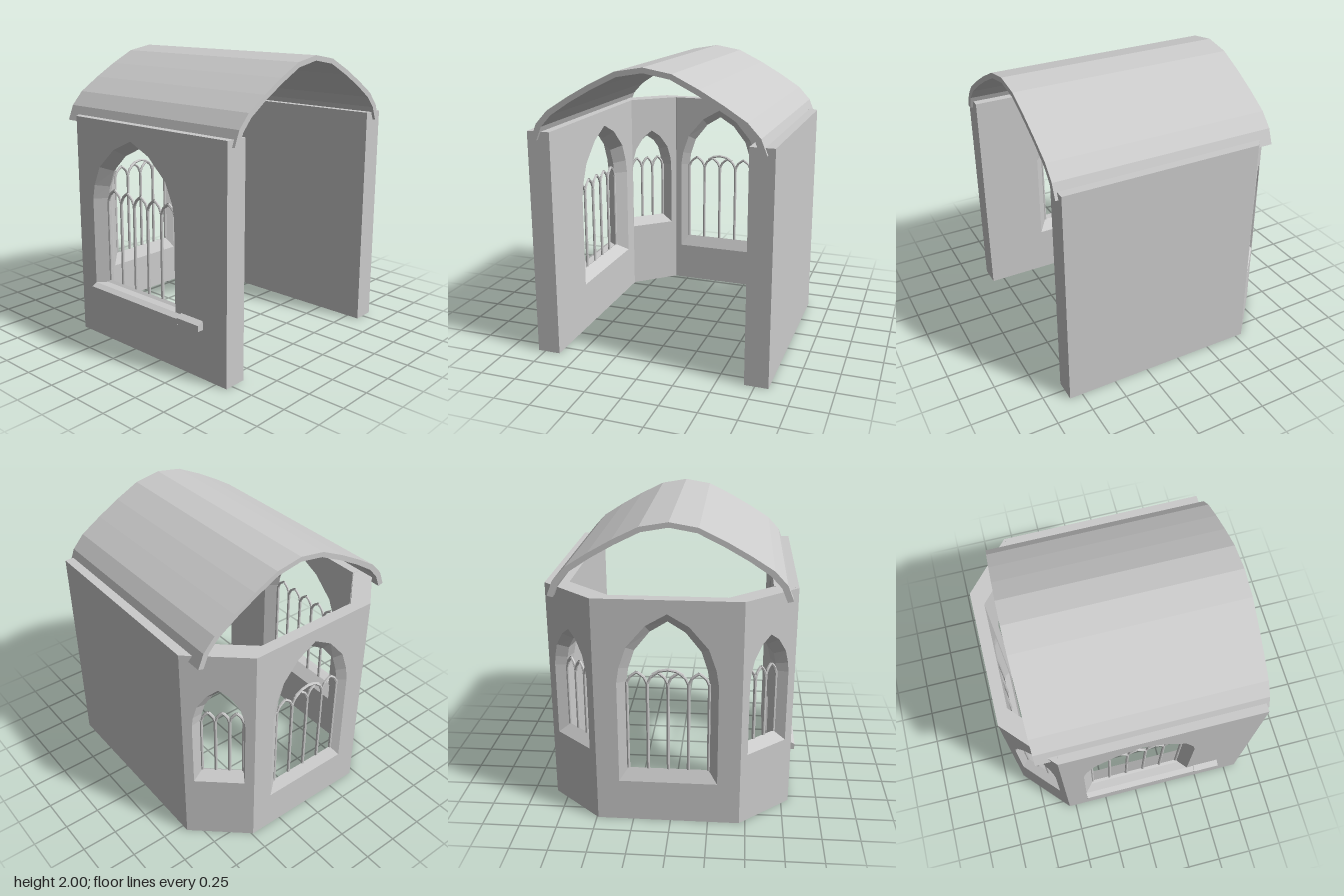
import * as THREE from 'three';
import { mergeGeometries } from 'three/addons/utils/BufferGeometryUtils.js';

const stone = new THREE.MeshStandardMaterial({ color: 0xcccccc, flatShading: true, side: THREE.DoubleSide });
const V2 = (x, y) => new THREE.Vector2(x, y);
const HEIGHT = 1.56;

// Plan corners, running from the left front round the apse to the right front
const OUTER = [[0.84, 0.84], [0.84, -0.55], [0.49, -0.86], [-0.46, -0.86], [-0.8, -0.55], [-0.8, 0.84]];
const INNER = [[0.68, 0.84], [0.68, -0.52], [0.39, -0.78], [-0.35, -0.78], [-0.64, -0.52], [-0.64, 0.84]];

function mesh(name, geometry) {
  const m = new THREE.Mesh(geometry, stone);
  m.name = name;
  return m;
}

// Pointed window outline, counter-clockwise
function archLoop(c, half, sill, spring, top) {
  const side = [[1, 0], [0.95, 0.22], [0.8, 0.52], [0.42, 0.83]];
  const at = ([u, v], s) => V2(c + s * u * half, spring + v * (top - spring));
  return [
    V2(c - half, sill), V2(c + half, sill),
    ...side.map(p => at(p, 1)), V2(c, top),
    ...side.map(p => at(p, -1)).reverse(),
  ];
}

const rect = (a, b) => [V2(a, 0), V2(b, 0), V2(b, HEIGHT), V2(a, HEIGHT)];

function soup() {
  const data = [];
  const put = (p, z) => data.push(p.x, p.y, z);
  return {
    // Flat face with an optional hole
    face(outline, hole, z, flip) {
      const holes = hole ? [[...hole].reverse()] : [];
      const all = [...outline, ...holes.flat()];
      for (const t of THREE.ShapeUtils.triangulateShape(outline, holes)) {
        for (const i of flip ? [t[0], t[2], t[1]] : t) put(all[i], z);
      }
    },
    // Band between two matching loops
    strip(a, za, b, zb) {
      a.forEach((p, i) => {
        const j = (i + 1) % a.length;
        put(p, za); put(b[i], zb); put(b[j], zb);
        put(p, za); put(b[j], zb); put(a[j], za);
      });
    },
    build() {
      const g = new THREE.BufferGeometry();
      g.setAttribute('position', new THREE.Float32BufferAttribute(data, 3));
      g.computeVertexNormals();
      return g;
    },
  };
}

// Row of mullions carrying small pointed arches
function tracery(c, z, half, sill, count, linkArch) {
  const parts = [];
  const w = (2 * half) / count;
  const bar = pts => parts.push(new THREE.TubeGeometry(
    new THREE.CatmullRomCurve3(pts.map(p => new THREE.Vector3(p[0], p[1], z))), 4, 0.01, 6));
  for (let i = 0; i <= count; i++) {
    const u = c - half + i * w;
    const h = 1.0 - sill;
    parts.push(new THREE.CylinderGeometry(0.011, 0.011, h, 8).translate(u, sill + h / 2, z));
    if (i === count) continue;
    for (const s of [-1, 1]) {
      const m = u + w / 2;
      bar([[m + s * w / 2, 0.98], [m + s * w * 0.34, 1.03], [m, 1.065]]);
    }
  }
  if (linkArch) bar([[c - 0.1, 1.05], [c - 0.05, 1.077], [c, 1.085], [c + 0.05, 1.077], [c + 0.1, 1.05]]);
  return mergeGeometries(parts);
}

// One wall between plan corners i and i + 1; local z points outwards
function wall(name, i, thick, win) {
  const [a, b] = [OUTER[i], OUTER[i + 1]];
  const len = Math.hypot(b[0] - a[0], b[1] - a[1]);
  const d = [(b[0] - a[0]) / len, (b[1] - a[1]) / len];
  const mid = [(a[0] + b[0]) / 2, (a[1] + b[1]) / 2];
  const along = p => (p[0] - mid[0]) * d[0] + (p[1] - mid[1]) * d[1];
  const out = rect(-len / 2, len / 2);
  const [u0, u1] = [along(INNER[i]), along(INNER[i + 1])];
  const inn = rect(u0, u1);
  const group = new THREE.Group();
  group.name = name;
  group.position.set(mid[0], 0, mid[1]);
  group.rotation.y = Math.atan2(-d[1], d[0]);

  const s = soup();
  s.strip(out, 0, inn, -thick);
  let hole = null, innerHole = null;
  if (win) {
    const { c, half, narrow, sill, narrowSill, top, narrowTop, shift = 0 } = win;
    hole = archLoop(c, half, sill, 1.0, top);
    const neck = archLoop(c + shift / 2, narrow, narrowSill, 1.0, narrowTop);
    innerHole = archLoop(c + shift, half, sill, 1.0, top);
    innerHole.forEach(p => { p.x = THREE.MathUtils.clamp(p.x, u0 + 0.004, u1 - 0.004); });
    // Splayed reveals on both sides of the narrow neck
    s.strip(neck, -thick / 2, hole, 0);
    s.strip(innerHole, -thick, neck, -thick / 2);
    group.add(mesh(name + 'Tracery',
      tracery(c + shift / 2, -thick / 2, narrow, narrowSill, win.lancets, win.linkArch)));
  }
  s.face(out, hole, 0, false);
  s.face(inn, innerHole, -thick, true);
  group.add(mesh(name + 'Masonry', s.build()));
  return group;
}

// Barrel roof shell
function roof() {
  const cx = 0.0175;
  const halfOuter = [[0.778, 1.515], [0.738, 1.615], [0.655, 1.705], [0.51, 1.797], [0.355, 1.885], [0.185, 1.968]];
  const halfInner = [[0.74, 1.505], [0.702, 1.597], [0.63, 1.675], [0.495, 1.765], [0.342, 1.852], [0.175, 1.935]];
  const arc = (h, top) => [
    ...h.map(p => V2(cx - p[0], p[1])), V2(cx, top),
    ...h.map(p => V2(cx + p[0], p[1])).reverse(),
  ];
  const shape = new THREE.Shape([...arc(halfOuter, 2.0), ...arc(halfInner, 1.966).reverse()]);
  return mesh('roof', new THREE.ExtrudeGeometry(shape, { depth: 1.55, bevelEnabled: false }).translate(0, 0, -0.69));
}

// Sloped sill running along the right wall
function ledge(name, z0, z1, y, out) {
  const shape = new THREE.Shape([
    V2(-0.74, y), V2(-0.74, y + 0.06), V2(-0.8, y + 0.06), V2(-0.8 - out, y + 0.04), V2(-0.8 - out, y)]);
  return mesh(name, new THREE.ExtrudeGeometry(shape, { depth: z1 - z0, bevelEnabled: false }).translate(0, 0, z0));
}

export function createModel() {
  const g = new THREE.Group();
  g.name = 'vaultedChapel';
  const small = {
    c: 0, half: 0.17, narrow: 0.138, sill: 0.5, narrowSill: 0.56, top: 1.3, narrowTop: 1.25, lancets: 3,
  };
  g.add(
    wall('leftWall', 0, 0.16),
    wall('leftApseWall', 1, 0.126, { ...small, shift: 0.04 }),
    wall('backWall', 2, 0.08, {
      c: 0, half: 0.325, narrow: 0.265, sill: 0.29, narrowSill: 0.375, top: 1.47, narrowTop: 1.41,
      lancets: 4, linkArch: true,
    }),
    wall('rightApseWall', 3, 0.126, { ...small, shift: -0.04 }),
    wall('rightWall', 4, 0.16, {
      c: -0.145, half: 0.4, narrow: 0.33, sill: 0.34, narrowSill: 0.4, top: 1.45, narrowTop: 1.39, lancets: 5,
    }),
    roof(),
    ledge('windowLedge', -0.4, 0.45, 0.325, 0.038),
    ledge('ledgeEnd', 0.45, 0.64, 0.335, 0.043),
  );
  return g;
}
